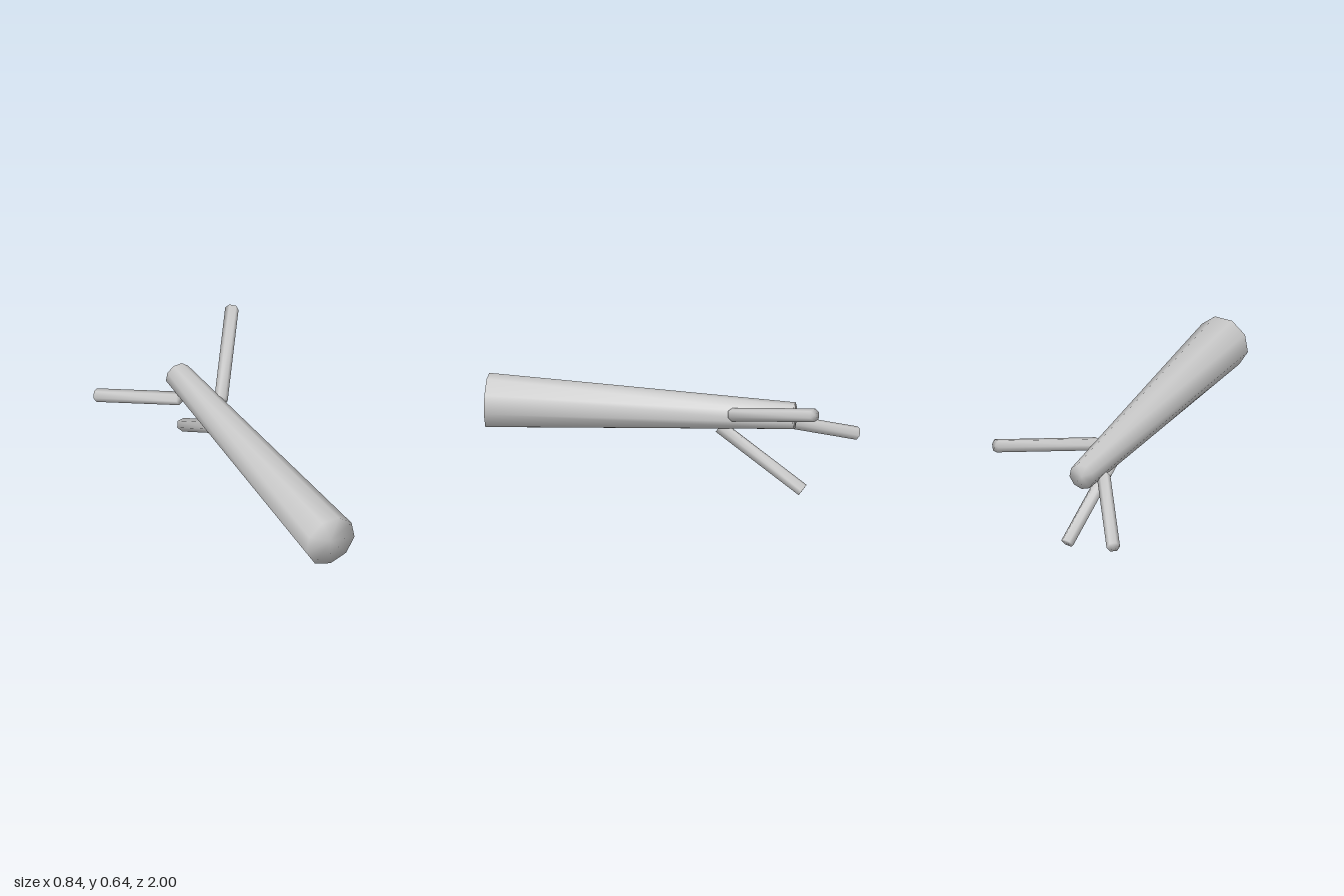
import * as THREE from 'three';
import { mergeVertices } from 'three/addons/utils/BufferGeometryUtils.js';

const bark = new THREE.MeshStandardMaterial({ color: 0xcccccc });
bark.name = 'pale grey';

// Closed tapered log between two points, soft-shaded across its few sides.
// One corner of its cross-section points along `corner`.
function log(name, from, to, r0, r1, sides, corner) {
  const a = new THREE.Vector3(...from);
  const b = new THREE.Vector3(...to);
  const axis = b.clone().sub(a);
  const length = axis.length();
  axis.normalize();
  const c = corner ? new THREE.Vector3(...corner) : new THREE.Vector3(-axis.y, axis.x, 0);
  const xAxis = new THREE.Vector3().crossVectors(axis, c).normalize();
  const zAxis = new THREE.Vector3().crossVectors(xAxis, axis);

  let geometry = new THREE.CylinderGeometry(r1, r0, length, sides);
  geometry.deleteAttribute('normal');
  geometry.deleteAttribute('uv');
  geometry = mergeVertices(geometry);
  geometry.applyMatrix4(new THREE.Matrix4().makeBasis(xAxis, axis, zAxis));
  geometry.computeVertexNormals();

  const mesh = new THREE.Mesh(geometry, bark);
  mesh.name = name;
  mesh.position.copy(a).add(b).multiplyScalar(0.5);
  return mesh;
}

export function createModel() {
  const group = new THREE.Group();
  group.name = 'fallenTree';

  // Trunk lying along z, thick end to the front
  group.add(log('trunk', [-0.047, 0.439, 1], [-0.05, 0.442, -0.69], 0.152, 0.075, 9, [0, -1, 0]));

  // Bare branches growing from the trunk's surface towards the back
  const branches = [
    ['leftBranch', [0.032, 0.461, -0.357], [0.387, 0.612, -0.866]],
    ['rightBranch', [-0.115, 0.396, -0.555], [-0.393, 0.237, -0.979]],
    ['lowerBranch', [-0.04, 0.362, -0.277], [0.012, 0.039, -0.742]],
  ];
  for (const [name, from, to] of branches) group.add(log(name, from, to, 0.037, 0.037, 6));

  return group;
}
